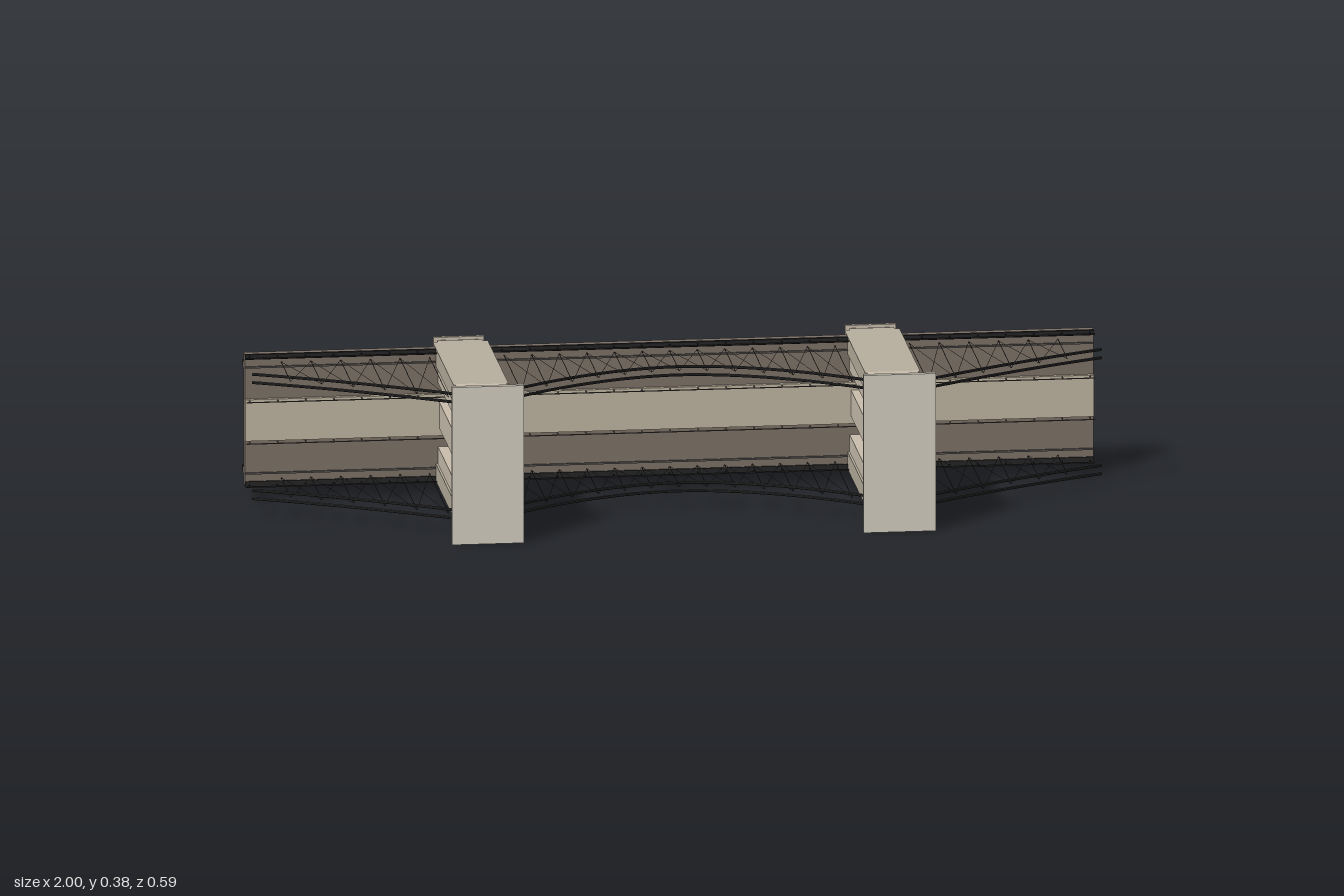
import * as THREE from 'three';

const mat = (c) => new THREE.MeshStandardMaterial({ color: c, side: THREE.DoubleSide, flatShading: true });
const CY = 0.19; // middle of the roadway width

export function createModel() {
  const root = new THREE.Group();
  root.name = 'suspensionBridge';
  const pale = mat(0xd0cbbd), stone = mat(0xc8bdac), shade = mat(0xb5ad9c);
  const brown = mat(0x7a6e64), walk = mat(0xbcb19d), dark = mat(0x54504c), black = mat(0x222222);

  // box given by its extents along each axis
  const box = (parent, name, m, x0, x1, y0, y1, z0, z1) => {
    const b = new THREE.Mesh(new THREE.BoxGeometry(x1 - x0, y1 - y0, z1 - z0), m);
    b.position.set((x0 + x1) / 2, (y0 + y1) / 2, (z0 + z1) / 2);
    b.name = name;
    parent.add(b);
    return b;
  };
  // outline in (-z, y), extruded along x and centred
  const slab = (parent, name, m, shape, half) => {
    const g = new THREE.ExtrudeGeometry(shape, { depth: 2 * half, bevelEnabled: false, curveSegments: 10 });
    g.translate(0, 0, -half).rotateY(Math.PI / 2);
    const s = new THREE.Mesh(g, m);
    s.name = name;
    parent.add(s);
  };
  // pointed arch, from its springing to the tip and back
  const lancet = (path, y, w, tip) => {
    path.quadraticCurveTo(-0.155, y + w * 0.82, -tip, y);
    path.quadraticCurveTo(-0.155, y - w * 0.82, -0.043, y - w);
  };

  const buildTower = (x) => {
    const t = new THREE.Group();
    t.name = 'tower';
    t.position.x = x;
    // stacked cornice
    box(t, 'topSlab', pale, -0.085, 0.085, 0, 0.38, 0.283, 0.297);
    box(t, 'upperCornice', stone, -0.075, 0.075, 0.01, 0.37, 0.258, 0.283);
    box(t, 'corniceNeck', shade, -0.06, 0.06, 0.06, 0.32, 0.244, 0.259);
    box(t, 'lowerCornice', pale, -0.069, 0.069, 0.018, 0.362, 0.214, 0.245);

    // head wall with the tops of the two pointed arches cut out
    const head = new THREE.Shape();
    head.moveTo(-0.216, 0.03);
    head.lineTo(-0.148, 0.03);
    [0.136, 0.244].forEach((y) => {
      head.lineTo(-0.148, y - 0.02);
      head.quadraticCurveTo(-0.19, y - 0.013, -0.208, y);
      head.quadraticCurveTo(-0.19, y + 0.013, -0.148, y + 0.02);
    });
    head.lineTo(-0.148, 0.35);
    head.lineTo(-0.216, 0.35);
    head.closePath();
    slab(t, 'archWall', stone, head, 0.06);

    // curved arch mouldings
    [0.136, 0.244].forEach((y) => {
      const rim = new THREE.Shape();
      rim.moveTo(-0.043, y + 0.032);
      lancet(rim, y, 0.032, 0.213);
      rim.lineTo(-0.043, y - 0.023);
      rim.quadraticCurveTo(-0.145, y - 0.02, -0.205, y);
      rim.quadraticCurveTo(-0.145, y + 0.02, -0.043, y + 0.023);
      rim.closePath();
      slab(t, 'archMoulding', stone, rim, 0.058);
    });

    // three legs and their feet
    box(t, 'middleLeg', stone, -0.058, 0.058, 0.16, 0.223, -0.253, 0.132);
    box(t, 'middleFoot', stone, -0.045, 0.045, 0.162, 0.223, -0.287, -0.25);
    [1, -1].forEach((s) => {
      const span = (a, b) => [CY + s * a, CY + s * b].sort((p, q) => p - q);
      box(t, 'outerLeg', stone, -0.06, 0.06, ...span(0.077, 0.159), -0.253, 0.155);
      box(t, 'legPilaster', shade, -0.065, 0.065, ...span(0.118, 0.16), -0.253, 0.155);
      box(t, 'outerFoot', stone, -0.045, 0.045, ...span(0.118, 0.156), -0.287, -0.25);
      box(t, 'footCollar', shade, -0.053, 0.053, ...span(0.122, 0.16), -0.268, -0.253);
      box(t, 'basePanel', shade, -0.035, 0.035, ...span(0.06, 0.13), -0.297, -0.28);
    });
    // base plate
    box(t, 'innerBasePlate', stone, -0.05, 0.05, 0.07, 0.31, -0.286, -0.278);
    box(t, 'basePlate', stone, -0.06, 0.06, 0.027, 0.353, -0.295, -0.285);
    box(t, 'middleBasePanel', shade, -0.03, 0.03, 0.16, 0.22, -0.297, -0.28);
    root.add(t);
  };
  [-0.485, 0.485].forEach(buildTower);

  // roadway with raised promenade
  const deck = new THREE.Group();
  deck.name = 'deck';
  root.add(deck);
  box(deck, 'roadway', brown, -1, 1, 0.032, 0.348, -0.219, -0.192);
  box(deck, 'promenade', walk, -1, 1, 0.142, 0.242, -0.195, -0.182);
  [1, -1].forEach((s) => {
    const bar = (name, m, off, half, z0, z1) =>
      box(deck, name, m, -1, 1, CY + s * off - half, CY + s * off + half, z0, z1);
    bar('edgeChord', black, 0.153, 0.006, -0.198, -0.188);
    bar('handRail', black, 0.155, 0.0015, -0.169, -0.165);
    bar('promenadeRail', dark, 0.05, 0.001, -0.164, -0.161);
    bar('underBeam', dark, 0.127, 0.0075, -0.236, -0.219);
    bar('underChord', black, 0.127, 0.006, -0.25, -0.244);
    bar('laneKerb', dark, 0.128, 0.002, -0.194, -0.188);
    for (let i = 0; i <= 30; i++) {
      const x = -0.99 + i * 0.066, y = CY + s * 0.155;
      box(deck, 'railPost', black, x - 0.001, x + 0.001, y - 0.001, y + 0.001, -0.19, -0.166);
      const yp = CY + s * 0.05;
      box(deck, 'promenadePost', dark, x - 0.001, x + 0.001, yp - 0.001, yp + 0.001, -0.184, -0.161);
      const yb = CY + s * 0.127;
      box(deck, 'chordHanger', black, x - 0.004, x + 0.004, yb - 0.006, yb + 0.006, -0.246, -0.234);
    }
  });

  // cable height over the length of the bridge
  const cableZ = (x) => {
    const a = Math.abs(x);
    if (a < 0.485) return 0.005 + 0.23 * Math.pow(a / 0.485, 1.8);
    const k = (a - 0.485) / 0.515;
    return 0.245 - 0.285 * k - 0.06 * k * (1 - k);
  };
  const cables = new THREE.Group();
  cables.name = 'cables';
  root.add(cables);
  const spans = [[-1, -0.485], [-0.485, 0.485], [0.485, 1]];
  [0.04, 0.06, 0.32, 0.34].forEach((y) => spans.forEach(([a, b]) => {
    const pts = [];
    for (let i = 0; i <= 20; i++) {
      const x = a + (b - a) * i / 20;
      pts.push(new THREE.Vector3(x, y, cableZ(x)));
    }
    const c = new THREE.Mesh(new THREE.TubeGeometry(new THREE.CatmullRomCurve3(pts), 40, 0.0036, 6), black);
    c.name = 'mainCable';
    cables.add(c);
  }));

  // upright suspenders and crossing stays
  const wire = (name, y, x0, z0, x1, z1, r) => {
    const line = new THREE.LineCurve3(new THREE.Vector3(x0, y, z0), new THREE.Vector3(x1, y, z1));
    const w = new THREE.Mesh(new THREE.TubeGeometry(line, 1, r, 4), black);
    w.name = name;
    cables.add(w);
  };
  const DECK = -0.188;
  [0.05, 0.33].forEach((y) => {
    const bays = [];
    for (let i = -6; i < 6; i++) bays.push([i * 0.065, (i + 1) * 0.065]);
    [1, -1].forEach((s) => {
      for (let i = 0; i < 5; i++) bays.push([s * (0.565 + i * 0.07), s * (0.635 + i * 0.07)]);
    });
    bays.forEach(([a, b]) => {
      wire('suspender', y, a, DECK, a, cableZ(a), 0.0009);
      wire('suspender', y, b, DECK, b, cableZ(b), 0.0009);
      wire('diagonalStay', y, a, DECK, b, cableZ(b), 0.0006);
      wire('diagonalStay', y, b, DECK, a, cableZ(a), 0.0006);
    });
  });
  return root;
}
